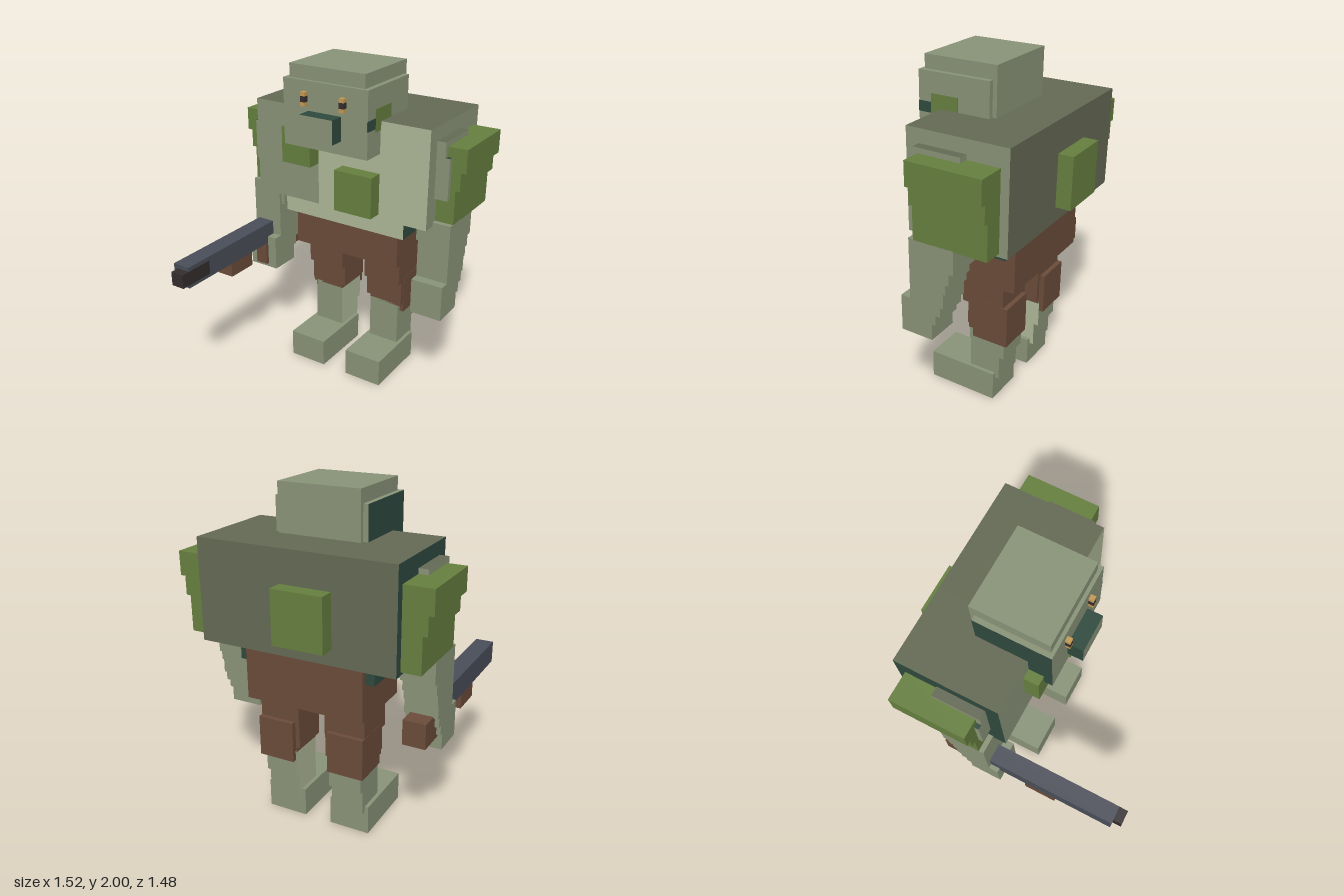
import * as THREE from 'three';

const paint = (name, color) => {
  const m = new THREE.MeshStandardMaterial({ color });
  m.name = name;
  return m;
};

export function createModel() {
  const sage = paint('sage skin', 0x8a9479);
  const pale = paint('pale belly', 0xaeb898);
  const olive = paint('olive grey hide', 0x656a55);
  const green = paint('moss green', 0x66803f);
  const teal = paint('dark teal', 0x2f4a3f);
  const brown = paint('brown cloth', 0x6b4c3a);
  const steel = paint('steel', 0x4a4e59);
  const dark = paint('near black', 0x352d2e);
  const gold = paint('gold', 0xc49a55);

  const model = new THREE.Group();
  model.name = 'blockyBrute';

  // Box from its extents; mat may be a list ordered +x, -x, +y, -y, +z, -z
  const box = (parent, name, mat, [x0, x1], [y0, y1], [z0, z1]) => {
    const mesh = new THREE.Mesh(new THREE.BoxGeometry(x1 - x0, y1 - y0, z1 - z0), mat);
    mesh.position.set((x0 + x1) / 2, (y0 + y1) / 2, (z0 + z1) / 2);
    mesh.name = name;
    parent.add(mesh);
    return mesh;
  };
  const group = (name) => {
    const g = new THREE.Group();
    g.name = name;
    model.add(g);
    return g;
  };

  // Torso, its front split into two colours
  const torso = group('torso');
  box(torso, 'chestRight', [sage, teal, olive, olive, sage, olive], [-0.59, -0.14], [1.13, 1.72], [-0.65, -0.04]);
  box(torso, 'chestLeft', [sage, teal, olive, olive, pale, olive], [-0.14, 0.59], [1.13, 1.72], [-0.65, -0.04]);
  box(torso, 'belly', [teal, teal, teal, teal, pale, teal], [-0.42, 0.42], [1.01, 1.13], [-0.54, -0.09]);
  box(torso, 'shorts', brown, [-0.365, 0.365], [0.79, 1.125], [-0.57, -0.125]);
  box(torso, 'upperChestLump', green, [-0.34, -0.14], [1.39, 1.61], [-0.05, 0.05]);
  box(torso, 'lowerChestLump', green, [0.03, 0.28], [1.16, 1.41], [-0.05, 0.05]);
  box(torso, 'backLump', green, [-0.225, 0.08], [1.22, 1.53], [-0.74, -0.64]);

  // Head
  const head = group('head');
  box(head, 'face', [sage, teal, sage, sage, sage, sage], [-0.28, 0.28], [1.53, 1.92], [-0.345, 0.1]);
  box(head, 'skull', sage, [-0.25, 0.25], [1.6, 2], [-0.37, 0.08]);
  box(head, 'snout', [teal, teal, teal, teal, sage, teal], [-0.11, 0.11], [1.61, 1.75], [0.09, 0.19]);
  box(head, 'cheekSpot', green, [0.275, 0.283], [1.67, 1.8], [-0.15, 0.02]);
  box(head, 'cheekMark', teal, [0.275, 0.283], [1.69, 1.75], [0.02, 0.1]);
  for (const s of [-1, 1]) {
    const x = [s * 0.128 - 0.015, s * 0.128 + 0.015];
    box(head, 'lowerLid', gold, x, [1.78, 1.803], [0.09, 0.13]);
    box(head, 'pupil', dark, x, [1.803, 1.837], [0.09, 0.13]);
    box(head, 'upperLid', gold, x, [1.837, 1.86], [0.09, 0.13]);
  }

  for (const s of [1, -1]) {
    const side = s > 0 ? 'left' : 'right';
    const span = (a, b) => (s > 0 ? [a, b] : [-b, -a]);

    // Arm: stepped shoulder, front pad, forearm with a staircase back edge
    const arm = group(side + 'Arm');
    [[0.76, 1.47, 1.61], [0.73, 1.36, 1.47], [0.703, 1.15, 1.36]].forEach(([x, y0, y1]) =>
      box(arm, 'shoulder', green, span(0.58, x), [y0, y1], [-0.6, -0.15]));
    box(arm, 'padUpper', [sage, sage, olive, sage, sage, sage], span(0.58, 0.645), [1.5, 1.64], [-0.405, -0.12]);
    box(arm, 'padLower', [sage, sage, teal, sage, sage, sage], span(0.58, 0.672), [1.3, 1.55], [-0.4, -0.122]);
    const steps = [
      [1.155, 1.01, -0.4], [1.01, 0.94, -0.37], [0.94, 0.88, -0.35], [0.88, 0.79, -0.335],
      [0.79, 0.73, -0.315], [0.73, 0.67, -0.285], [0.67, 0.57, -0.26],
    ];
    for (const [y1, y0, z] of steps)
      box(arm, 'forearm', sage, span(0.503, 0.703), [y0, y1], [z, y1 > 0.8 ? -0.12 : -0.06]);
    box(arm, 'innerArmUpper', sage, span(0.45, 0.51), [1.09, 1.13], [-0.38, -0.14]);
    box(arm, 'innerArmLower', sage, span(0.48, 0.51), [1.01, 1.09], [-0.38, -0.14]);

    // Leg: trouser, shin with a pale inner face, foot
    const leg = group(side + 'Leg');
    const shin = s > 0 ? [sage, pale, sage, sage, sage, sage] : [pale, sage, sage, sage, sage, sage];
    box(leg, 'thigh', brown, span(0.085, 0.335), [0.62, 0.8], [-0.485, -0.22]);
    box(leg, 'knee', brown, span(0.085, 0.335), [0.48, 0.62], [-0.48, -0.255]);
    box(leg, 'cuff', brown, span(0.108, 0.333), [0.45, 0.48], [-0.48, -0.26]);
    box(leg, 'backFlap', brown, span(0.112, 0.337), [0.4, 0.65], [-0.513, -0.29]);
    box(leg, 'upperShin', shin, span(0.11, 0.312), [0.29, 0.46], [-0.485, -0.26]);
    box(leg, 'lowerShin', shin, span(0.11, 0.312), [0.14, 0.29], [-0.455, -0.26]);
    box(leg, 'foot', sage, span(0.085, 0.335), [0, 0.175], [-0.43, 0]);
  }

  // Long weapon in the right hand
  const weapon = group('weapon');
  box(weapon, 'barrel', steel, [-0.677, -0.565], [0.745, 0.88], [-0.2, 0.685]);
  box(weapon, 'muzzle', dark, [-0.648, -0.561], [0.768, 0.855], [0.51, 0.74]);
  box(weapon, 'foreGrip', brown, [-0.677, -0.565], [0.655, 0.745], [0.11, 0.31]);
  box(weapon, 'handGrip', brown, [-0.648, -0.565], [0.595, 0.745], [-0.2, -0.04]);
  box(weapon, 'stock', brown, [-0.677, -0.54], [0.65, 0.8], [-0.44, -0.2]);

  return model;
}
